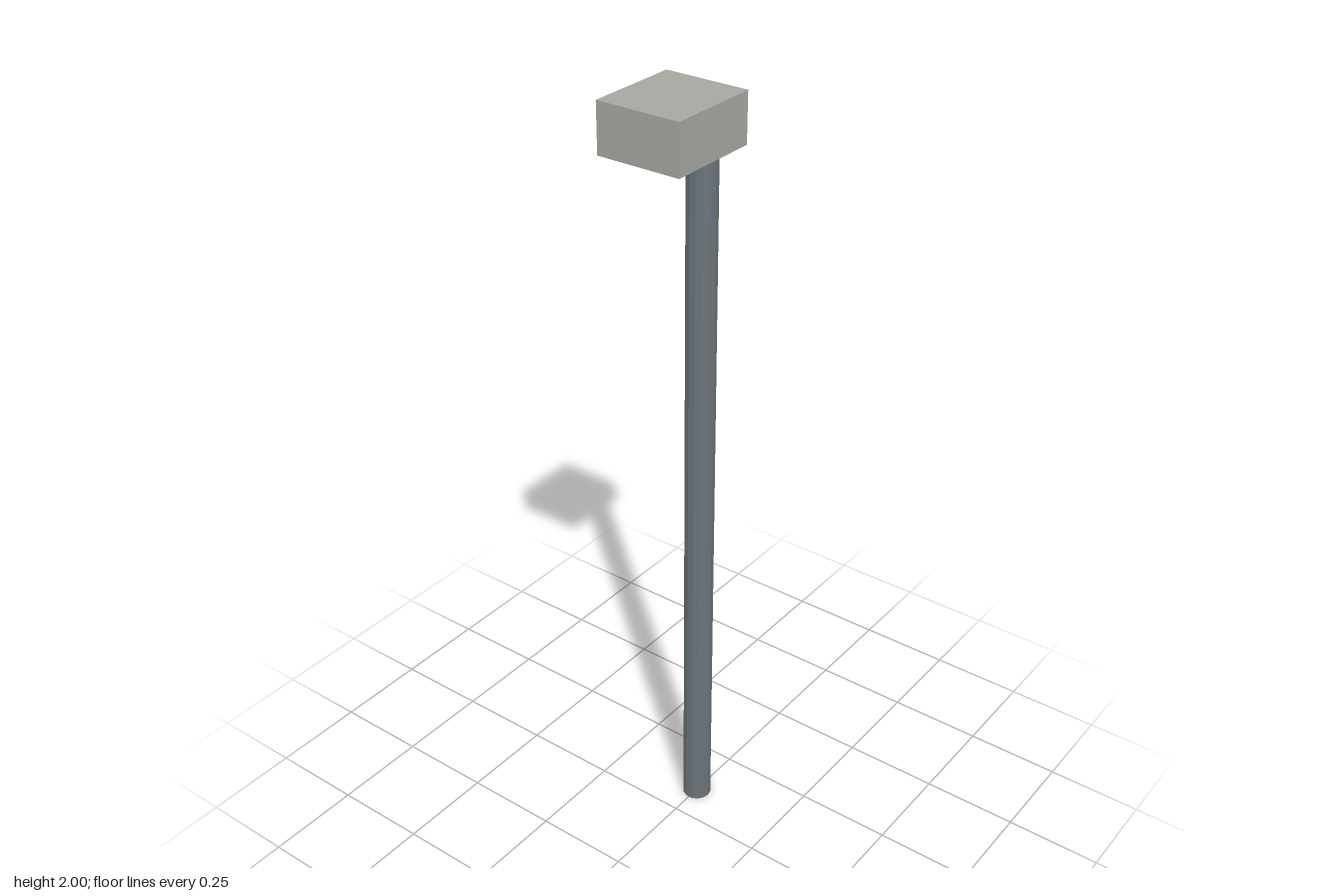
import * as THREE from 'three';

export function createModel() {
  const model = new THREE.Group();

  function add(name, geometry, color, x, y, z) {
    const material = new THREE.MeshStandardMaterial({ color, flatShading: true });
    const mesh = new THREE.Mesh(geometry, material);
    mesh.name = name;
    mesh.position.set(x, y, z);
    model.add(mesh);
    return mesh;
  }

  // Faceted pole, with a flat facet facing the back
  const sides = 14, poleHeight = 1.917;
  const pole = add('pole', new THREE.CylinderGeometry(0.0375, 0.0375, poleHeight, sides), 0x6b747a,
    0, poleHeight / 2, -0.0955);
  pole.rotation.y = Math.PI / sides;

  // Block-shaped head, reaching forward over the pole
  add('head', new THREE.BoxGeometry(0.214, 0.12, 0.239), 0xa7a7a1, 0, 1.94, 0.0115);

  return model;
}
